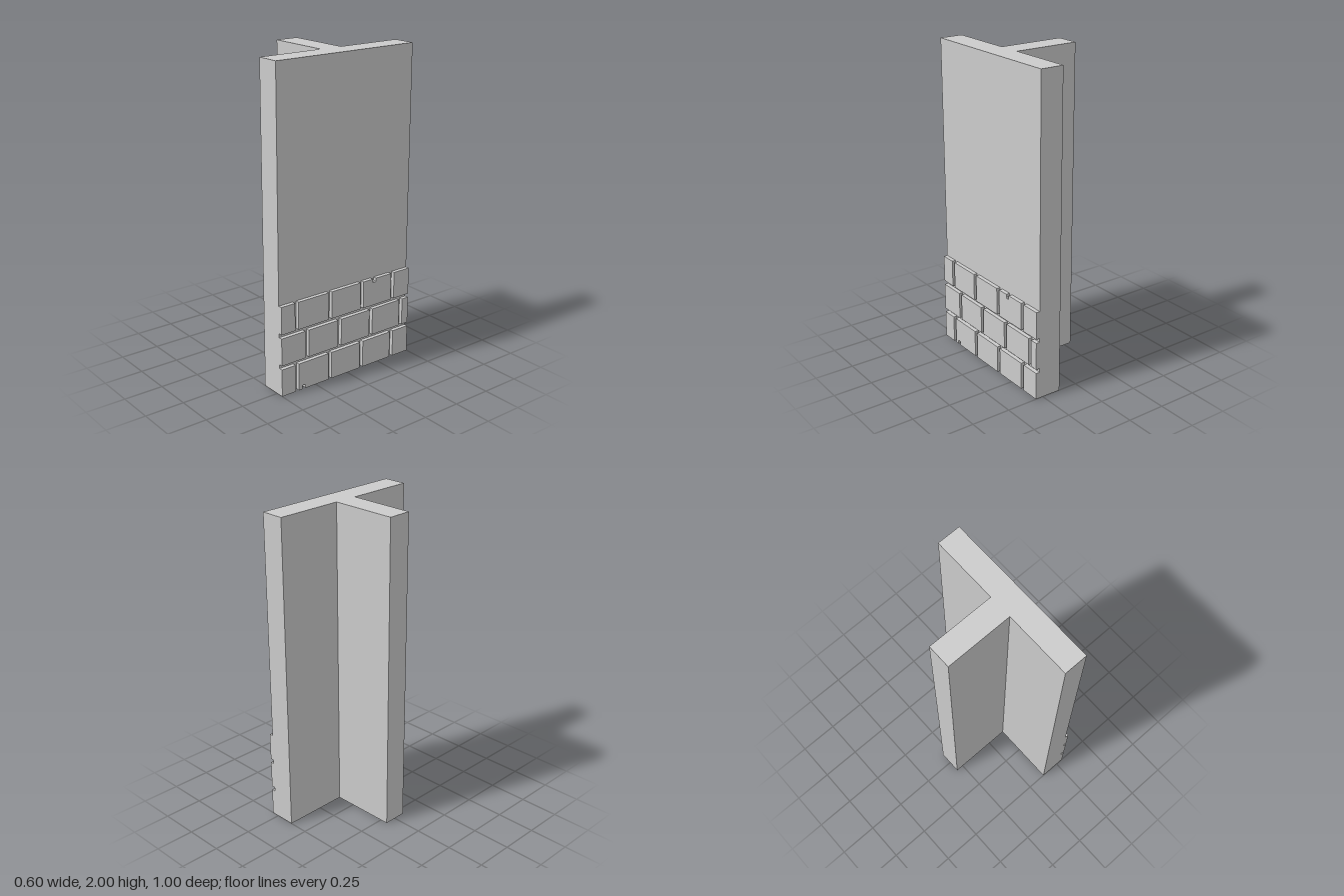
import * as THREE from 'three';

const material = new THREE.MeshStandardMaterial({ color: 0xcccccc, flatShading: true });

const FACE = 0.275;   // wall surface that carries the bricks
const DEPTH = 0.025;  // brick relief
const BRICK_H = 0.175;
const PITCH = 0.25;   // brick length plus joint
const JOINT = 0.025;

// Extrudes an outline drawn in (-z, y) along +x
function extrudeX(shape, x, depth) {
  const g = new THREE.ExtrudeGeometry(shape, { depth, bevelEnabled: false });
  return g.rotateY(Math.PI / 2).translate(x, 0, 0);
}

// Brick outline from a to b, with an optional chipped slot in its top or bottom edge
function brickShape(a, b, y0, chip) {
  const y1 = y0 + BRICK_H;
  const pts = [[a, y0]];
  const slot = (y, s) => [
    [-0.0125, 0], [-0.0125, 0.02], [-0.0075, 0.026],
    [0.0075, 0.026], [0.0125, 0.02], [0.0125, 0],
  ].map(([u, v]) => [chip.at + u, y + s * v]);
  if (chip && !chip.top) pts.push(...slot(y0, 1));
  pts.push([b, y0], [b, y1]);
  if (chip && chip.top) pts.push(...slot(y1, -1).reverse());
  pts.push([a, y1]);
  return new THREE.Shape(pts.map(([u, v]) => new THREE.Vector2(u, v)));
}

export function createModel() {
  const model = new THREE.Group();
  const add = (name, geometry, parent = model) => {
    const mesh = new THREE.Mesh(geometry, material);
    mesh.name = name;
    parent.add(mesh);
  };

  // T-shaped wall section, extruded upwards
  const plan = new THREE.Shape([
    [0.125, -0.5], [FACE, -0.5], [FACE, 0.5], [0.125, 0.5],
    [0.125, 0.075], [-0.3, 0.075], [-0.3, -0.075], [0.125, -0.075],
  ].map(([x, y]) => new THREE.Vector2(x, y)));
  const wall = new THREE.ExtrudeGeometry(plan, { depth: 2, bevelEnabled: false });
  add('wall', wall.rotateX(-Math.PI / 2));

  // Three staggered courses of raised bricks, cut off at the wall ends
  const courses = [
    { start: -0.625, chip: { at: -0.3375, top: false } },
    { start: -0.55, chip: null },
    { start: -0.625, chip: { at: 0.2125, top: true } },
  ];
  courses.forEach(({ start, chip }, row) => {
    const course = new THREE.Group();
    course.name = 'brickCourse' + (row + 1);
    for (let i = 0; i < 5; i++) {
      const a = Math.max(-0.5, start + i * PITCH);
      const b = Math.min(0.5, start + (i + 1) * PITCH - JOINT);
      const hit = chip && chip.at > a && chip.at < b ? chip : null;
      add('brick', extrudeX(brickShape(a, b, row * (BRICK_H + JOINT), hit), FACE, DEPTH), course);
    }
    model.add(course);
  });

  return model;
}
